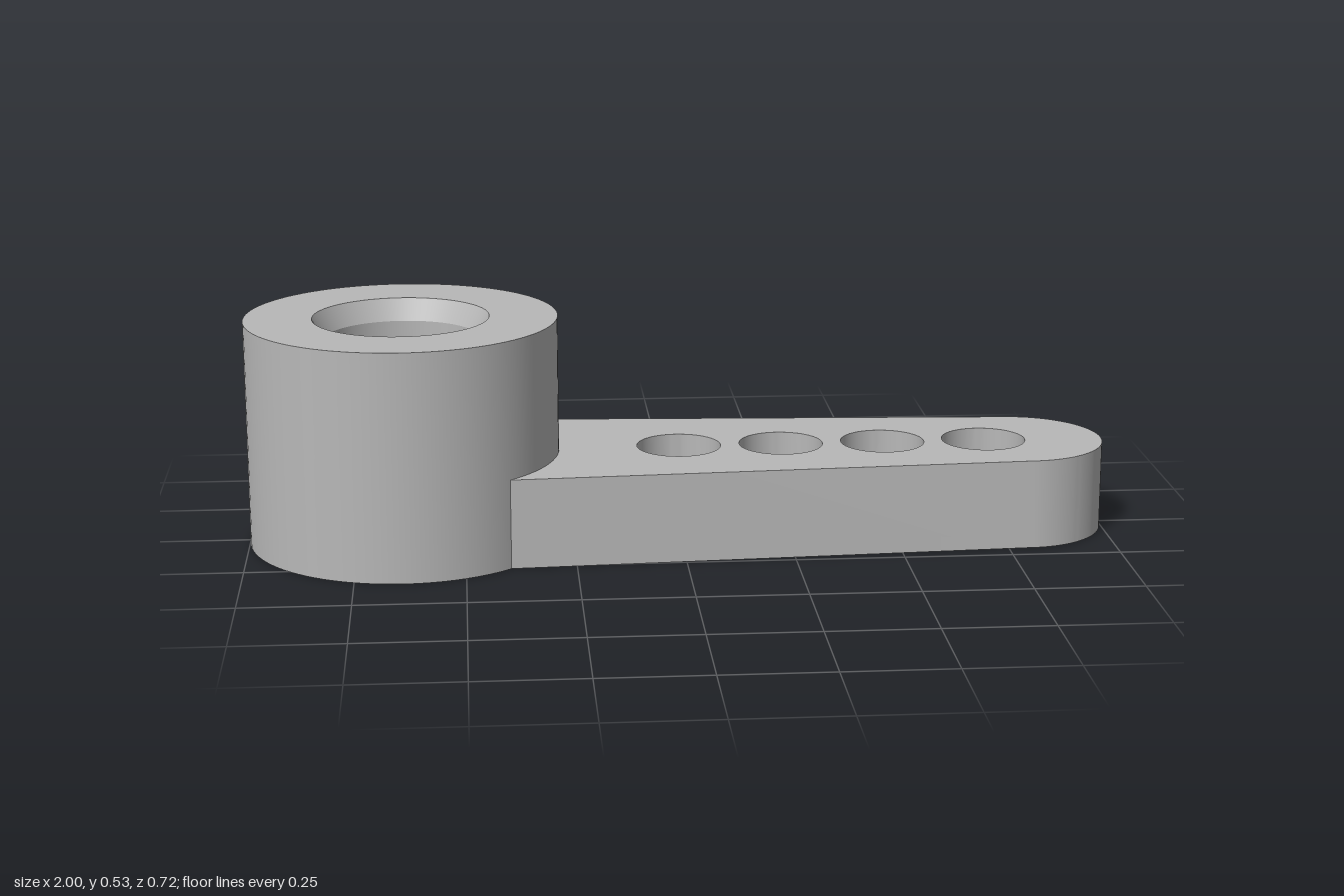
import * as THREE from 'three';
import { mergeGeometries, toCreasedNormals } from 'three/addons/utils/BufferGeometryUtils.js';

const HUB_X = -0.64, HUB_R = 0.36, HUB_H = 0.527, ARM_H = 0.208;

// Lathe a closed profile one segment at a time so its edges stay sharp
function sharpLathe(profile, segments) {
  return mergeGeometries(profile.map((p, i) => {
    const q = profile[(i + 1) % profile.length];
    return new THREE.LatheGeometry([new THREE.Vector2(...p), new THREE.Vector2(...q)], segments);
  }));
}

export function createModel() {
  const model = new THREE.Group();
  model.name = 'leverArm';
  const grey = new THREE.MeshStandardMaterial({ color: 0xb8b8b8 });
  grey.name = 'grey';

  // Hub: chamfered socket above, thin web with a screw hole, counterbore below
  const hub = new THREE.Mesh(sharpLathe([
    [HUB_R, 0], [HUB_R, HUB_H],
    [0.203, HUB_H], [0.177, HUB_H - 0.05],
    [0.177, 0.13], [0.117, 0.13],
    [0.117, 0.05], [0.2, 0.05], [0.2, 0],
  ], 96), grey);
  hub.name = 'hub';
  hub.position.x = HUB_X;
  model.add(hub);

  // Arm: tapered bar with a round tip, ending along the hub wall
  const a = Math.atan2(0.267, 0.24);
  const outline = new THREE.Shape();
  outline.moveTo(-0.4, -0.267);
  outline.lineTo(0.8, -0.2);
  outline.absarc(0.8, 0, 0.2, -Math.PI / 2, Math.PI / 2, false);
  outline.lineTo(-0.4, 0.267);
  outline.absarc(HUB_X, 0, HUB_R - 0.002, a, -a, true);

  // Row of linkage holes
  for (let i = 0; i < 4; i++) {
    const hole = new THREE.Path();
    hole.absarc(i * 0.24, 0, 0.098, 0, Math.PI * 2, true);
    outline.holes.push(hole);
  }
  const armGeometry = new THREE.ExtrudeGeometry(outline, {
    depth: ARM_H, bevelEnabled: false, curveSegments: 32,
  });
  armGeometry.rotateX(-Math.PI / 2);
  const arm = new THREE.Mesh(toCreasedNormals(armGeometry, Math.PI / 6), grey);
  arm.name = 'arm';
  model.add(arm);

  return model;
}
